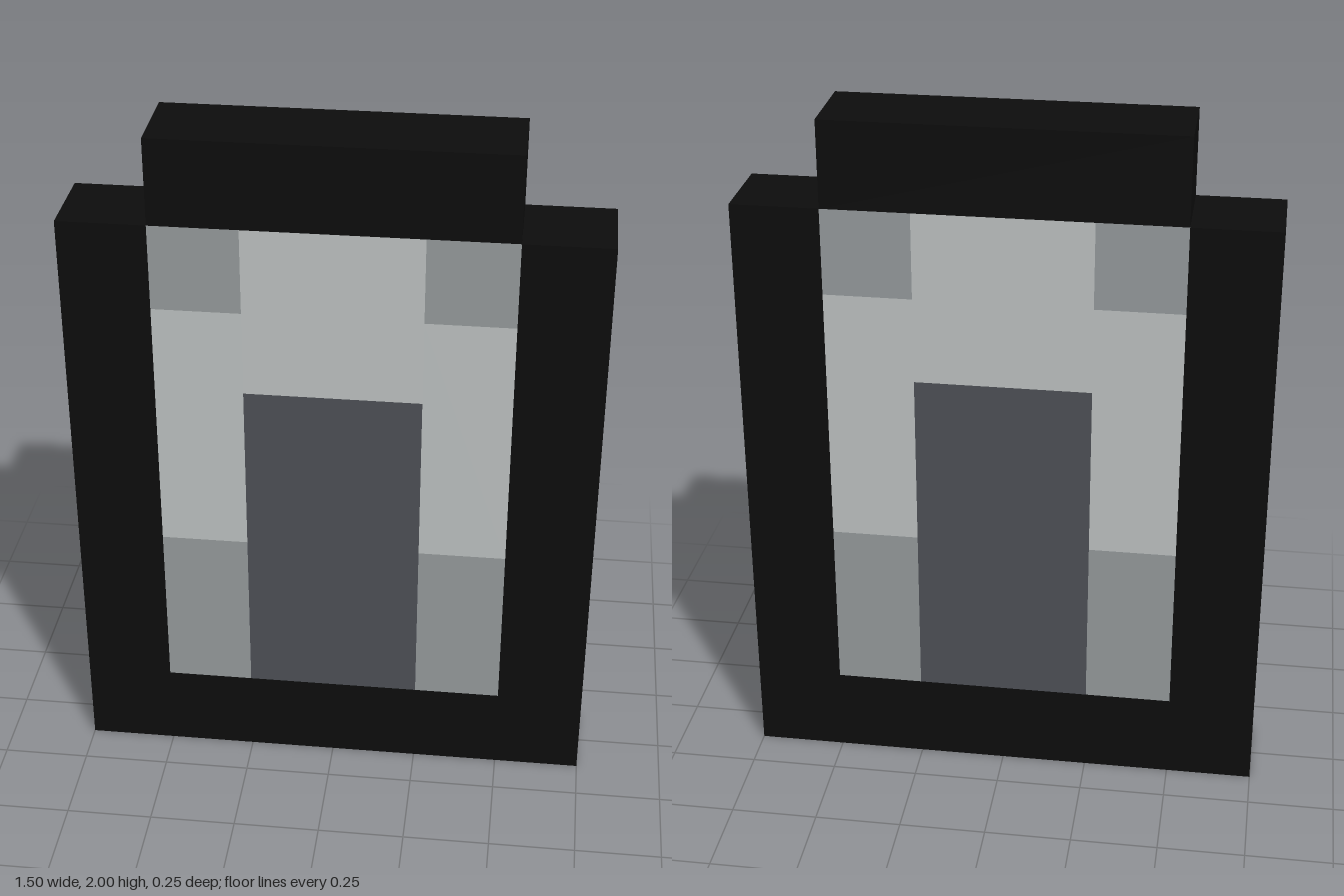
import * as THREE from 'three';

const DEPTH = 0.25;

const material = (name, color) => {
  const m = new THREE.MeshStandardMaterial({ color });
  m.name = name;
  return m;
};

// Builds a point list mirrored across x = 0 from its right half (bottom to top)
const mirrored = (half) => [...half, ...half.map(([x, y]) => [-x, y]).reverse()];
const toVectors = (points) => points.map(([x, y]) => new THREE.Vector2(x, y));

// Flat slab part running through the full thickness
function slab(name, points, mat, hole) {
  const shape = new THREE.Shape(toVectors(points));
  if (hole) shape.holes.push(new THREE.Path(toVectors(hole)));
  const geometry = new THREE.ExtrudeGeometry(shape, { depth: DEPTH, bevelEnabled: false });
  geometry.translate(0, 0, -DEPTH / 2);
  const mesh = new THREE.Mesh(geometry, mat);
  mesh.name = name;
  return mesh;
}

const rect = (x0, y0, x1, y1) => [[x0, y0], [x1, y0], [x1, y1], [x0, y1]];

export function createModel() {
  const model = new THREE.Group();
  model.name = 'steppedTablet';
  const black = material('black', 0x0d0d0d);
  const lightGrey = material('lightGrey', 0xc1c5c5);
  const midGrey = material('midGrey', 0x989d9f);
  const darkGrey = material('darkGrey', 0x4f5258);

  // Black border with the raised middle at the top
  model.add(slab('frame',
    mirrored([[0.75, 0], [0.75, 1.75], [0.5, 1.75], [0.5, 2]]), black,
    rect(-0.5, 0.25, 0.5, 1.75)));

  // Light arch around the central panel
  model.add(slab('lightArch', mirrored([
    [0.25, 1.25], [0.25, 0.75], [0.5, 0.75], [0.5, 1.5], [0.25, 1.5], [0.25, 1.75],
  ]), lightGrey));

  // Dark central panel
  model.add(slab('centrePanel', rect(-0.25, 0.25, 0.25, 1.25), darkGrey));

  // Shaded upper corners and lower legs on both sides
  for (const [side, x] of [['left', 0.25], ['right', -0.5]]) {
    model.add(slab(`${side}UpperCorner`, rect(x, 1.5, x + 0.25, 1.75), midGrey));
    model.add(slab(`${side}LowerLeg`, rect(x, 0.25, x + 0.25, 0.75), midGrey));
  }
  return model;
}
